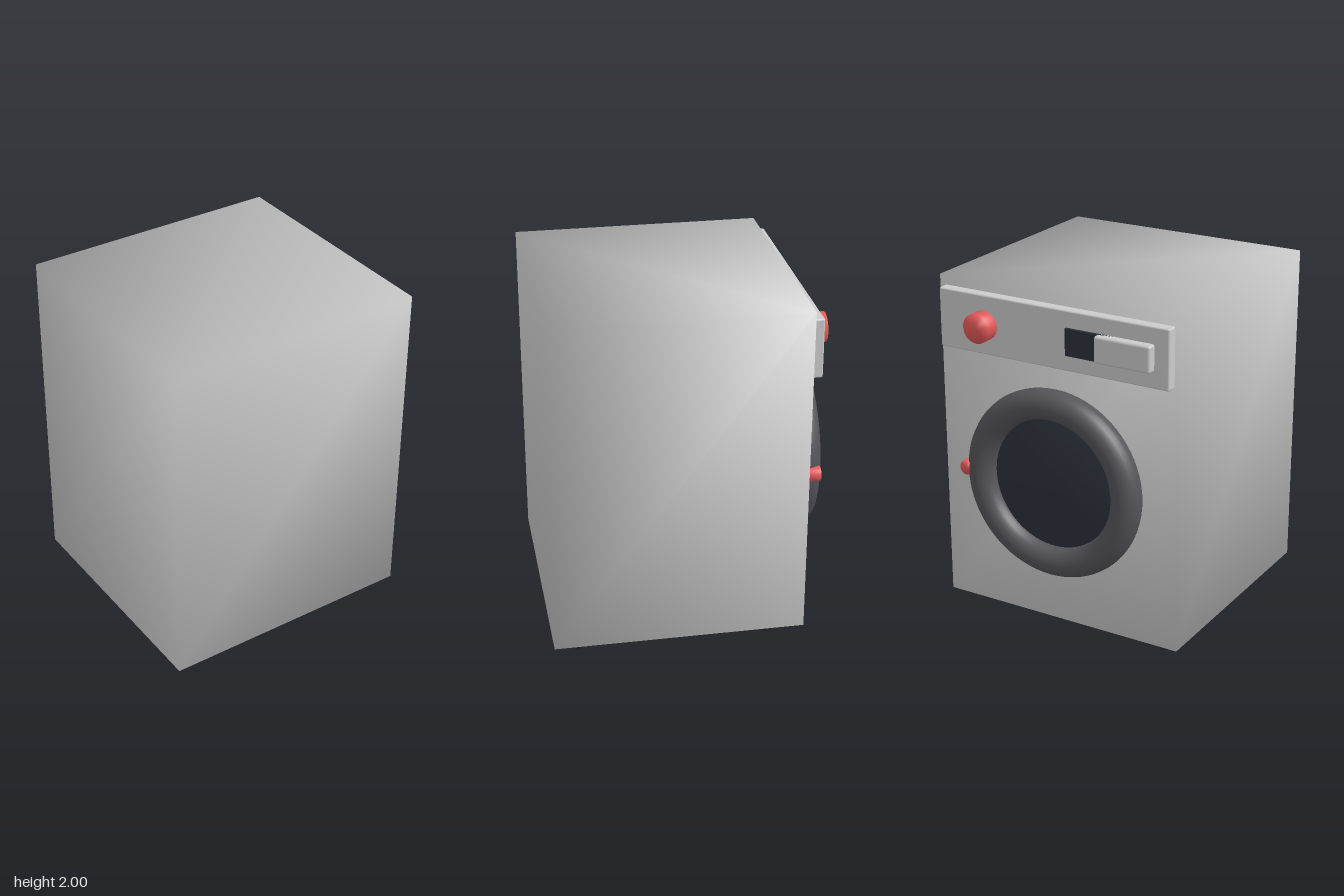
import * as THREE from 'three';
import { mergeVertices } from 'three/addons/utils/BufferGeometryUtils.js';
import { RoundedBoxGeometry } from 'three/addons/geometries/RoundedBoxGeometry.js';

const paint = (color) => new THREE.MeshStandardMaterial({ color });
const grey = paint(0xcccccc);
const red = paint(0xe65a5a);
const rubber = paint(0x2e2e30);
const ringDark = paint(0x55555a);
const glassDark = paint(0x2b303a);

// Share vertices across edges so the shading runs smoothly around corners
function soften(geometry) {
  geometry.deleteAttribute('normal');
  geometry.deleteAttribute('uv');
  const merged = mergeVertices(geometry);
  merged.computeVertexNormals();
  return merged;
}

export function createModel() {
  const model = new THREE.Group();
  model.name = 'washingMachine';

  function add(name, geometry, material, x, y, z) {
    const mesh = new THREE.Mesh(geometry, material);
    mesh.name = name;
    mesh.position.set(x, y, z);
    model.add(mesh);
    return mesh;
  }

  // Short cylinder whose axis runs along z
  const disc = (radius, depth, sides) =>
    soften(new THREE.CylinderGeometry(radius, radius, depth, sides).rotateX(-Math.PI / 2));

  // Cabinet on four feet
  add('cabinet', soften(new THREE.BoxGeometry(1.49, 1.91, 1.415)), grey, 0, 1.045, 0.0675);
  for (const x of [-0.595, 0.595]) {
    for (const z of [-0.47, 0.61]) {
      add('foot', soften(new THREE.CylinderGeometry(0.05, 0.05, 0.1, 24)), rubber, x, 0.05, z);
    }
  }

  // Control panel with dial, display and detergent drawer
  add('controlPanel', new RoundedBoxGeometry(1.425, 0.335, 0.075, 2, 0.01), grey, 0, 1.7775, -0.6605);
  add('dial', disc(0.083, 0.085, 32), red, 0.422, 1.777, -0.7325);
  add('display', new THREE.BoxGeometry(0.31, 0.15, 0.03), glassDark, -0.255, 1.777, -0.701);
  add('detergentDrawer', new RoundedBoxGeometry(0.335, 0.15, 0.07, 3, 0.015), grey, -0.4575, 1.777, -0.71);

  // Round door with ring, glass and handle
  add('doorRing', new THREE.TorusGeometry(0.459, 0.085, 24, 72), ringDark, 0, 0.94, -0.69);
  add('doorGlass', disc(0.4, 0.06, 64), glassDark, 0, 0.94, -0.66);
  add('doorHandle', disc(0.042, 0.085, 24), red, 0.533, 0.942, -0.7125);

  return model;
}
